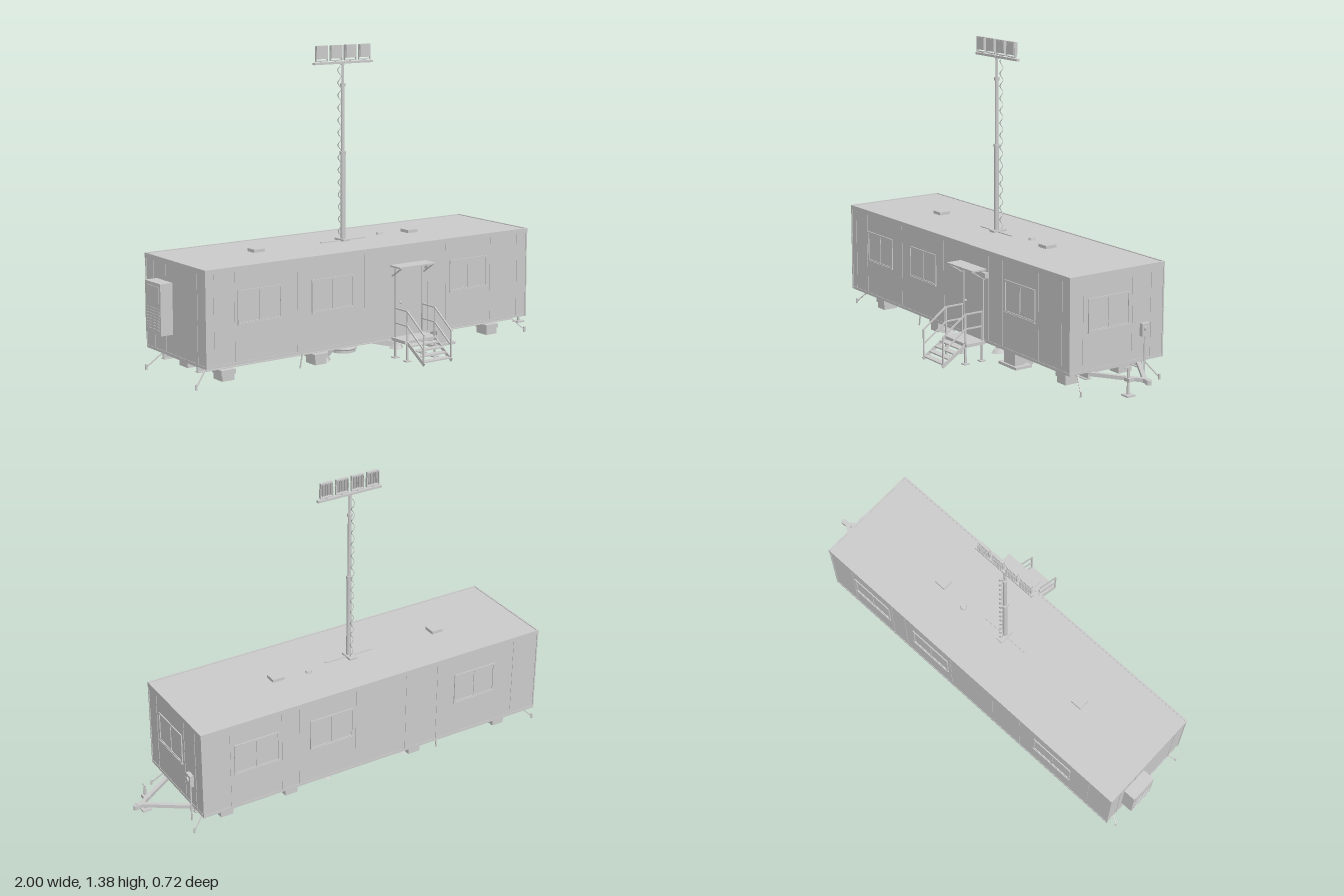
import * as THREE from 'three';

const mat = new THREE.MeshStandardMaterial({ color: 0xcccccc, side: THREE.DoubleSide });
const V = (x, y, z) => new THREE.Vector3(x, y, z);

function add(parent, name, geo, x = 0, y = 0, z = 0) {
  const m = new THREE.Mesh(geo, mat);
  m.name = name;
  m.position.set(x, y, z);
  parent.add(m);
  return m;
}
// box given by its minimum and maximum corners
function span(parent, name, x0, x1, y0, y1, z0, z1) {
  return add(parent, name, new THREE.BoxGeometry(x1 - x0, y1 - y0, z1 - z0),
    (x0 + x1) / 2, (y0 + y1) / 2, (z0 + z1) / 2);
}
// square bar between two points
function bar(parent, name, a, b, w, h = w) {
  const m = add(parent, name, new THREE.BoxGeometry(w, h, a.distanceTo(b)));
  m.position.copy(a).lerp(b, 0.5);
  m.lookAt(b);
  return m;
}
// vertical cylinder from y0 to y1
function post(parent, name, x, z, y0, y1, r, r2 = r, n = 16) {
  return add(parent, name, new THREE.CylinderGeometry(r2, r, y1 - y0, n), x, (y0 + y1) / 2, z);
}
function group(parent, name) {
  const g = new THREE.Group();
  g.name = name;
  parent.add(g);
  return g;
}

const X0 = -0.94, X1 = 0.785, Z0 = -0.355, Z1 = 0.14, ZC = -0.1075, MX = -0.08;

// two-pane sliding window, built facing +z around its own centre
function makeWindow(parent, w = 0.21, h = 0.135) {
  const g = group(parent, 'window'), t = 0.008;
  span(g, 'glass', -w / 2, w / 2, -h / 2, h / 2, -0.004, 0.001);
  for (const s of [-1, 1]) {
    span(g, 'frameSide', s * w / 2 - t / 2, s * w / 2 + t / 2, -h / 2, h / 2, -0.002, 0.005);
    span(g, 'frameRail', -w / 2 - t / 2, w / 2 + t / 2, s * h / 2 - t / 2, s * h / 2 + t / 2, -0.002, 0.005);
  }
  span(g, 'mullion', -0.004, 0.004, -h / 2, h / 2, -0.002, 0.004);
  span(g, 'sill', -w / 2 - 0.006, w / 2 + 0.006, -h / 2 - 0.007, -h / 2 - 0.001, -0.002, 0.008);
  return g;
}

function buildCabin(root) {
  const g = group(root, 'cabin');
  span(g, 'walls', X0, X1, 0.1, 0.505, Z0, Z1);
  span(g, 'baseTrim', X0 - 0.002, X1 + 0.002, 0.1, 0.112, Z0 - 0.002, Z1 + 0.002);
  // roof rim
  for (const z of [Z0, Z1]) span(g, 'roofEdge', X0 - 0.004, X1 + 0.004, 0.494, 0.516, z - 0.004, z + 0.004);
  for (const x of [X0, X1]) span(g, 'roofEnd', x - 0.004, x + 0.004, 0.494, 0.516, Z0, Z1);
  span(g, 'roof', X0, X1, 0.505, 0.513, Z0, Z1);
  // corner trims and wall battens
  for (const x of [X0, X1]) for (const z of [Z0, Z1])
    span(g, 'cornerTrim', x - 0.003, x + 0.003, 0.1, 0.495, z - 0.003, z + 0.003);
  const batten = (x, z) => span(g, 'batten', x - 0.003, x + 0.003, 0.11, 0.495, z - 0.002, z + 0.002);
  for (const x of [-0.9, -0.8, -0.49, -0.14, 0.21, 0.31, 0.57, 0.73]) batten(x, Z1);
  for (const x of [-0.81, -0.395, -0.23, 0.03, 0.315, 0.4, 0.65]) batten(x, Z0);
  for (const x of [X0, X1]) for (const z of [-0.29, -0.19, 0.07])
    span(g, 'endBatten', x - 0.002, x + 0.002, 0.11, 0.495, z - 0.003, z + 0.003);
  // windows
  for (const x of [-0.68, -0.31, 0.44]) makeWindow(g).position.set(x, 0.343, Z1);
  for (const x of [-0.595, 0.155, 0.525]) {
    const w = makeWindow(g);
    w.position.set(x, 0.343, Z0);
    w.rotation.y = Math.PI;
  }
  const end = makeWindow(g);
  end.position.set(X1, 0.343, -0.063);
  end.rotation.y = Math.PI / 2;
  // roof vents
  for (const x of [-0.535, 0.295]) span(g, 'roofVent', x - 0.028, x + 0.028, 0.512, 0.527, -0.14, -0.085);
  post(g, 'ventPipe', 0.145, -0.14, 0.51, 0.524, 0.016, 0.013);
}

function buildEntrance(root) {
  const g = group(root, 'entrance');
  span(g, 'door', 0.03, 0.168, 0.105, 0.41, Z1 - 0.002, Z1 + 0.004);
  for (const x of [0.025, 0.173]) span(g, 'doorJamb', x - 0.004, x + 0.004, 0.105, 0.416, Z1, Z1 + 0.007);
  span(g, 'doorHead', 0.021, 0.177, 0.408, 0.416, Z1, Z1 + 0.007);
  add(g, 'doorHandle', new THREE.SphereGeometry(0.006, 12, 8), 0.048, 0.26, Z1 + 0.01);
  span(g, 'awning', -0.004, 0.193, 0.424, 0.431, Z1, 0.214);
  for (const x of [0.008, 0.18]) bar(g, 'awningBrace', V(x, 0.425, 0.21), V(x, 0.38, Z1), 0.005);
  span(g, 'doorLight', 0.187, 0.213, 0.394, 0.418, Z1, Z1 + 0.022);
  // landing and stairs
  span(g, 'landing', 0.005, 0.187, 0.092, 0.106, Z1, 0.24);
  for (let i = 0; i < 4; i++) {
    const z = 0.24 + i * 0.028, y = 0.09 - i * 0.0185;
    span(g, 'tread', 0.022, 0.17, y - 0.006, y, z, z + 0.031);
  }
  for (const x of [0.02, 0.172]) {
    bar(g, 'stringer', V(x, 0.098, 0.236), V(x, 0.022, 0.357), 0.005, 0.016);
    for (const z of [0.15, 0.236]) {
      span(g, 'landingLeg', x - 0.004, x + 0.004, 0.015, 0.1, z - 0.004, z + 0.004);
      span(g, 'landingFoot', x - 0.014, x + 0.014, 0.013, 0.018, z - 0.014, z + 0.014);
      bar(g, 'railPost', V(x, 0.1, z), V(x, 0.237, z), 0.006);
    }
    bar(g, 'railPost', V(x, 0.03, 0.353), V(x, 0.153, 0.353), 0.006);
    for (const d of [0, 0.066]) {
      bar(g, 'handrail', V(x, 0.237 - d, 0.147), V(x, 0.237 - d, 0.238), 0.006);
      bar(g, 'handrail', V(x, 0.237 - d, 0.236), V(x, 0.153 - d, 0.355), 0.006);
    }
  }
}

function buildChassis(root) {
  const g = group(root, 'chassis');
  for (const z of [0.035, -0.25]) {
    // I-beams
    span(g, 'beamWeb', -0.925, 0.78, 0.066, 0.1, z - 0.003, z + 0.003);
    for (const y of [0.066, 0.096]) span(g, 'beamFlange', -0.925, 0.78, y, y + 0.004, z - 0.014, z + 0.014);
    // stacked piers
    for (const x of [-0.795, -0.325, 0.32, 0.64]) {
      span(g, 'pierBase', x - 0.03, x + 0.03, 0.018, 0.046, z - 0.036, z + 0.036);
      span(g, 'pierCap', x - 0.035, x + 0.035, 0.046, 0.066, z - 0.04, z + 0.04);
    }
  }
  for (let i = 0; i < 8; i++) {
    const x = -0.9 + i * 0.235;
    span(g, 'crossMember', x - 0.006, x + 0.006, 0.08, 0.1, -0.25, 0.035);
  }
  // service box under the floor
  span(g, 'serviceBox', 0.285, 0.365, 0.03, 0.1, 0.06, 0.11);
  span(g, 'serviceBase', 0.255, 0.385, 0.018, 0.03, 0.035, 0.12);
  // corner tie-downs
  for (const s of [-1, 1]) for (const t of [-1, 1]) {
    const cx = s < 0 ? -0.89 : 0.735, z = ZC + t * 0.17;
    const foot = V(cx + s * 0.08, 0.022, ZC + t * 0.21);
    bar(g, 'tieDown', V(cx, 0.1, z), foot, 0.005);
    post(g, 'anchor', foot.x, foot.z, 0.012, 0.036, 0.005, 0.005, 8);
  }
  for (const z of [0.08, -0.3]) bar(g, 'tieDown', V(-0.425, 0.1, z), V(-0.44, 0.02, z), 0.005);

  // tow hitch
  const h = group(root, 'towHitch');
  for (const z of [0.02, -0.24]) bar(h, 'drawbar', V(0.77, 0.086, z), V(0.965, 0.086, -0.11), 0.018, 0.016);
  span(h, 'coupler', 0.945, 0.985, 0.076, 0.094, -0.122, -0.1);
  post(h, 'couplerSocket', 0.988, -0.111, 0.072, 0.092, 0.012);
  post(h, 'jack', 0.92, -0.06, 0.02, 0.14, 0.006);
  bar(h, 'jackCrank', V(0.92, 0.138, -0.07), V(0.92, 0.138, -0.04), 0.005);
  span(h, 'jackBracket', 0.905, 0.935, 0.078, 0.094, -0.085, -0.05);
  span(h, 'jackFoot', 0.9, 0.942, 0.016, 0.023, -0.08, -0.04);
}

function buildMast(root) {
  const g = group(root, 'lightMast');
  // footing and outriggers below the floor
  post(g, 'footPlate', MX, ZC, 0.008, 0.02, 0.055, 0.055, 32);
  post(g, 'footSpike', MX, ZC, 0, 0.1, 0.012);
  const ring = add(g, 'footRing', new THREE.TorusGeometry(0.055, 0.006, 8, 32), MX, 0.026, ZC);
  ring.rotation.x = Math.PI / 2;
  for (const s of [-1, 1]) {
    span(g, 'footFrame', MX - 0.11, MX + 0.08, 0.055, 0.08, ZC + s * 0.08 - 0.008, ZC + s * 0.08 + 0.008);
    for (const t of [-1, 1]) {
      const tip = V(MX + s * 0.2, 0.035, ZC + t * 0.13);
      bar(g, 'outrigger', V(MX + s * 0.03, 0.07, ZC + t * 0.02), tip, 0.02, 0.025);
      post(g, 'outriggerPad', tip.x, tip.z, 0.018, 0.035, 0.04, 0.028, 4);
    }
  }
  // roof mounting
  span(g, 'roofBracket', MX - 0.12, MX + 0.12, 0.512, 0.517, ZC - 0.006, ZC + 0.006);
  span(g, 'roofFlange', MX - 0.018, MX + 0.018, 0.512, 0.522, -0.15, -0.08);
  // telescopic pole
  const steps = [[0.51, 0.915, 0.011], [0.915, 1.215, 0.0085], [1.215, 1.31, 0.006]];
  for (const [a, b, r] of steps) {
    post(g, 'poleSection', MX, ZC, a, b, r);
    post(g, 'poleCollar', MX, ZC, b - 0.014, b, r + 0.003);
  }
  // coiled cable behind the pole
  const pts = [];
  for (let i = 0; i <= 168; i++) {
    const a = i / 12 * Math.PI * 2;
    pts.push(V(MX + 0.007 * Math.sin(a), 0.515 + 0.775 * i / 168, -0.133 + 0.006 * Math.cos(a)));
  }
  add(g, 'coiledCable', new THREE.TubeGeometry(new THREE.CatmullRomCurve3(pts), 340, 0.002, 5));
  // lamp bar with four floodlights
  span(g, 'lampBar', -0.235, 0.08, 1.302, 1.312, ZC - 0.007, ZC + 0.007);
  for (let i = 0; i < 4; i++) {
    const x = -0.194 + i * 0.0765;
    const l = group(g, 'floodlight');
    span(l, 'lampBody', x - 0.029, x + 0.029, 1.327, 1.385, -0.11, -0.097);
    span(l, 'lampLens', x - 0.025, x + 0.025, 1.331, 1.381, -0.098, -0.095);
    for (let k = -3; k <= 3; k++) span(l, 'coolingFin', x + k * 0.008 - 0.001, x + k * 0.008 + 0.001, 1.33, 1.382, -0.119, -0.11);
    for (const s of [-1, 1]) span(l, 'lampYoke', x + s * 0.03 - 0.0015, x + s * 0.03 + 0.0015, 1.318, 1.36, -0.11, -0.1);
    span(l, 'yokeBase', x - 0.031, x + 0.031, 1.316, 1.32, -0.11, -0.1);
    post(l, 'yokeStem', x, ZC, 1.31, 1.318, 0.004);
  }
}

function buildServices(root) {
  // air conditioner on the left end
  const a = group(root, 'airConditioner');
  span(a, 'housing', -0.998, X0, 0.197, 0.42, -0.262, -0.132);
  for (let i = 0; i < 8; i++) span(a, 'louvre', -1, -0.997, 0.215 + i * 0.013, 0.221 + i * 0.013, -0.25, -0.144);
  span(a, 'panel', -1, -0.997, 0.335, 0.405, -0.25, -0.144);
  // electric meter on the right end
  const e = group(root, 'electricMeter');
  span(e, 'meterBox', X1, 0.803, 0.21, 0.266, -0.27, -0.23);
  const dial = add(e, 'meterDial', new THREE.CylinderGeometry(0.011, 0.011, 0.01, 24), 0.805, 0.243, -0.25);
  dial.rotation.z = Math.PI / 2;
  post(e, 'conduit', 0.793, -0.252, 0.03, 0.212, 0.004);
}

export function createModel() {
  const root = new THREE.Group();
  root.name = 'siteOfficeTrailer';
  for (const build of [buildCabin, buildEntrance, buildChassis, buildMast, buildServices]) build(root);
  return root;
}
